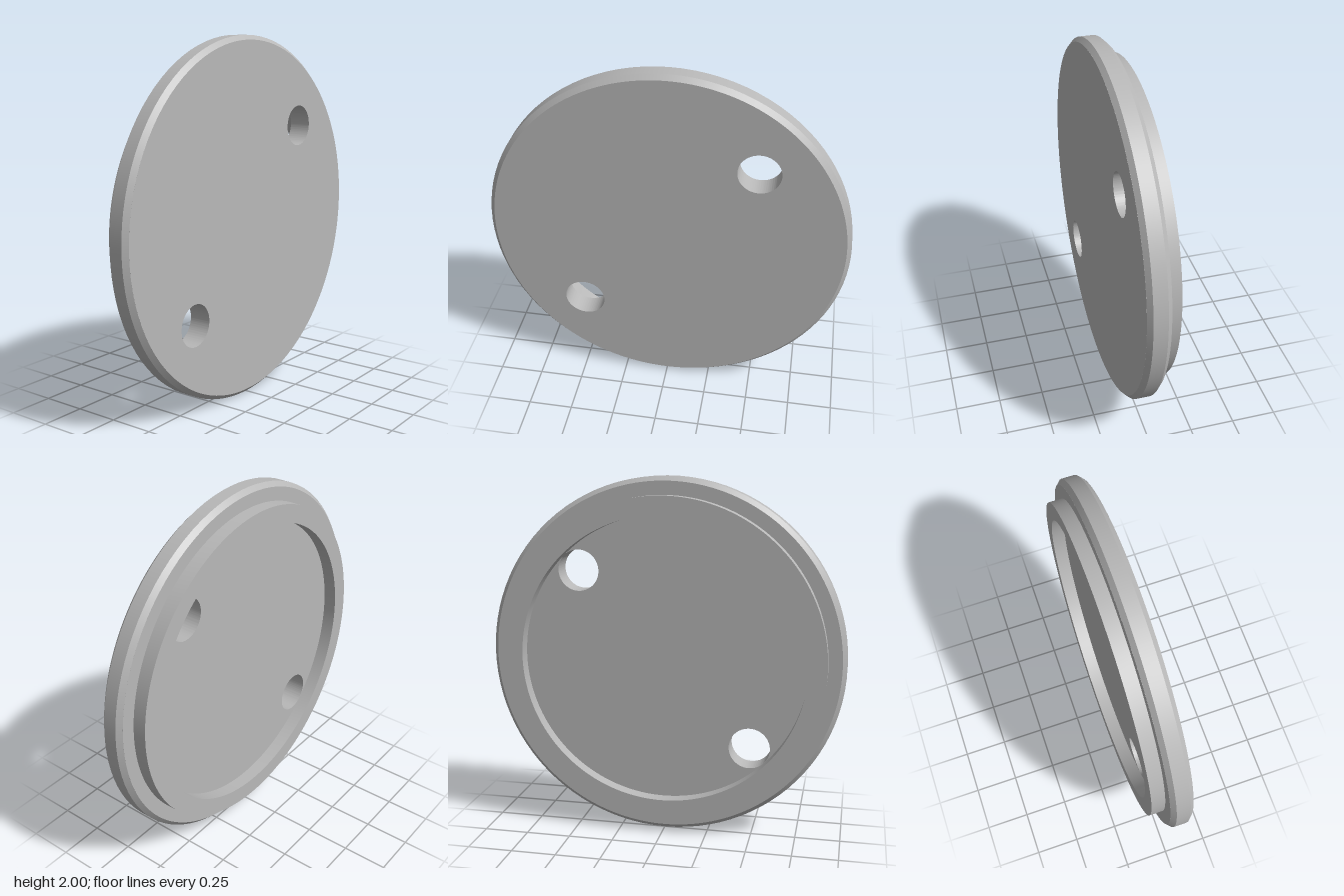
import * as THREE from 'three';
import { toCreasedNormals } from 'three/addons/utils/BufferGeometryUtils.js';

const SEGMENTS = 96;

// Round plate lying across z, with circular holes given as [x, y, radius]
function plate(radius, holes, zBack, zFront) {
  const shape = new THREE.Shape().absarc(0, 0, radius, 0, Math.PI * 2, false);
  for (const [x, y, r] of holes) {
    shape.holes.push(new THREE.Path().absarc(x, y, r, 0, Math.PI * 2, true));
  }
  const geometry = new THREE.ExtrudeGeometry(shape, {
    depth: zFront - zBack, bevelEnabled: false, curveSegments: SEGMENTS,
  });
  geometry.translate(0, 0, zBack);
  return toCreasedNormals(geometry, 0.5);
}

// Open band around the z axis between two radii
function band(rBack, rFront, zBack, zFront) {
  const geometry = new THREE.CylinderGeometry(rFront, rBack, zFront - zBack, SEGMENTS, 1, true);
  geometry.rotateX(Math.PI / 2);
  return geometry.translate(0, 0, (zBack + zFront) / 2);
}

export function createModel() {
  const model = new THREE.Group();
  model.name = 'coverCap';
  const grey = new THREE.MeshStandardMaterial({ color: 0xb8b8b8 });
  grey.name = 'grey';

  const add = (name, geometry) => {
    const mesh = new THREE.Mesh(geometry, grey);
    mesh.name = name;
    mesh.position.y = 1;
    model.add(mesh);
  };

  // Disc with two diagonally opposite through holes
  const offset = 0.484;
  const holes = [1, -1].map((s) => [s * offset, s * offset, 0.115]);
  add('disc', plate(0.975, holes, -0.025, 0.1));

  // Chamfered outer rim
  add('backChamfer', band(0.975, 1, -0.025, 0));
  add('rim', band(1, 1, 0, 0.075));
  add('frontChamfer', band(1, 0.975, 0.075, 0.1));

  // Raised locating ring on the back
  add('backRing', plate(0.9, [[0, 0, 0.8]], -0.1, -0.025));

  return model;
}
